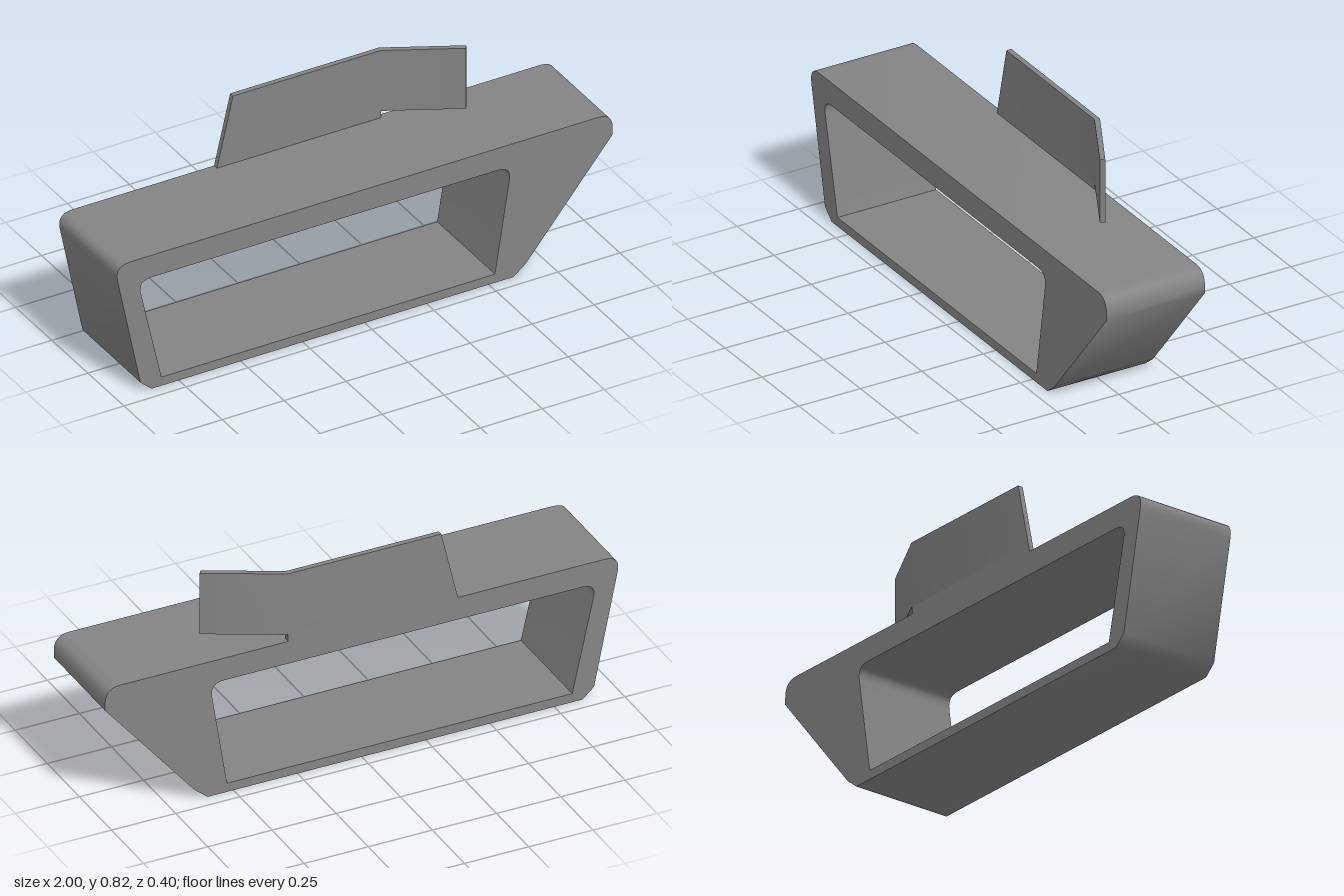
import * as THREE from 'three';
import { toCreasedNormals } from 'three/addons/utils/BufferGeometryUtils.js';

const material = new THREE.MeshStandardMaterial({ color: 0x848484 });

// Trace a closed outline of [x, y, radius] corners, rounding those with a radius
function trace(path, corners) {
  const n = corners.length;
  corners.forEach(([x, y, r = 0], i) => {
    const toward = ([px, py]) => {
      const d = Math.hypot(px - x, py - y);
      return [x + ((px - x) * r) / d, y + ((py - y) * r) / d];
    };
    const a = toward(corners[(i + n - 1) % n]);
    const b = toward(corners[(i + 1) % n]);
    if (i === 0) path.moveTo(...a);
    else path.lineTo(...a);
    if (r) path.quadraticCurveTo(x, y, ...b);
  });
  path.closePath();
  return path;
}

const extrude = (shape, depth) =>
  new THREE.ExtrudeGeometry(shape, { depth, bevelEnabled: false, curveSegments: 6 });

// Mesh with gentle corners shaded smooth and the others sharp
function part(name, geometry) {
  const mesh = new THREE.Mesh(toCreasedNormals(geometry, 0.8), material);
  mesh.name = name;
  return mesh;
}

export function createModel() {
  const group = new THREE.Group();
  group.name = 'hollowFrameWithPlate';

  // Slanted hollow frame with chamfered lower corners and rounded upper ones
  const outline = trace(new THREE.Shape(), [
    [-0.86, 0], [0.6, 0], [0.65, 0.04], [1.0, 0.46],
    [1.0, 0.548, 0.06], [-1.01, 0.548, 0.065], [-0.905, 0.04],
  ]);
  outline.holes.push(trace(new THREE.Path(), [
    [-0.82, 0.035], [-0.915, 0.458, 0.055], [0.592, 0.458, 0.055], [0.525, 0.035],
  ]));
  const frame = part('frame', extrude(outline, 0.4));
  frame.position.z = -0.2;
  group.add(frame);

  // Foot joining the plate to the back of the frame
  const foot = part('plateFoot', extrude(trace(new THREE.Shape(), [
    [-0.375, 0.547], [0.287, 0.547], [0.287, 0.576], [-0.368, 0.576],
  ]), 0.02));
  foot.position.z = -0.2;
  group.add(foot);

  // Folded plate, drawn in plan (x, -z) and raised; its left end leans inward
  const sheet = extrude(trace(new THREE.Shape(), [
    [-0.368, 0.18], [0.285, 0.18], [0.55, 0.043], [0.561, 0.059], [0.29, 0.2], [-0.368, 0.2],
  ]), 0.248);
  sheet.rotateX(-Math.PI / 2).translate(0, 0.576, 0);
  const p = sheet.attributes.position;
  for (let i = 0; i < p.count; i++) {
    if (p.getX(i) < 0 && p.getY(i) > 0.7) p.setX(i, -0.31);
  }
  group.add(part('foldedPlate', sheet));

  return group;
}
